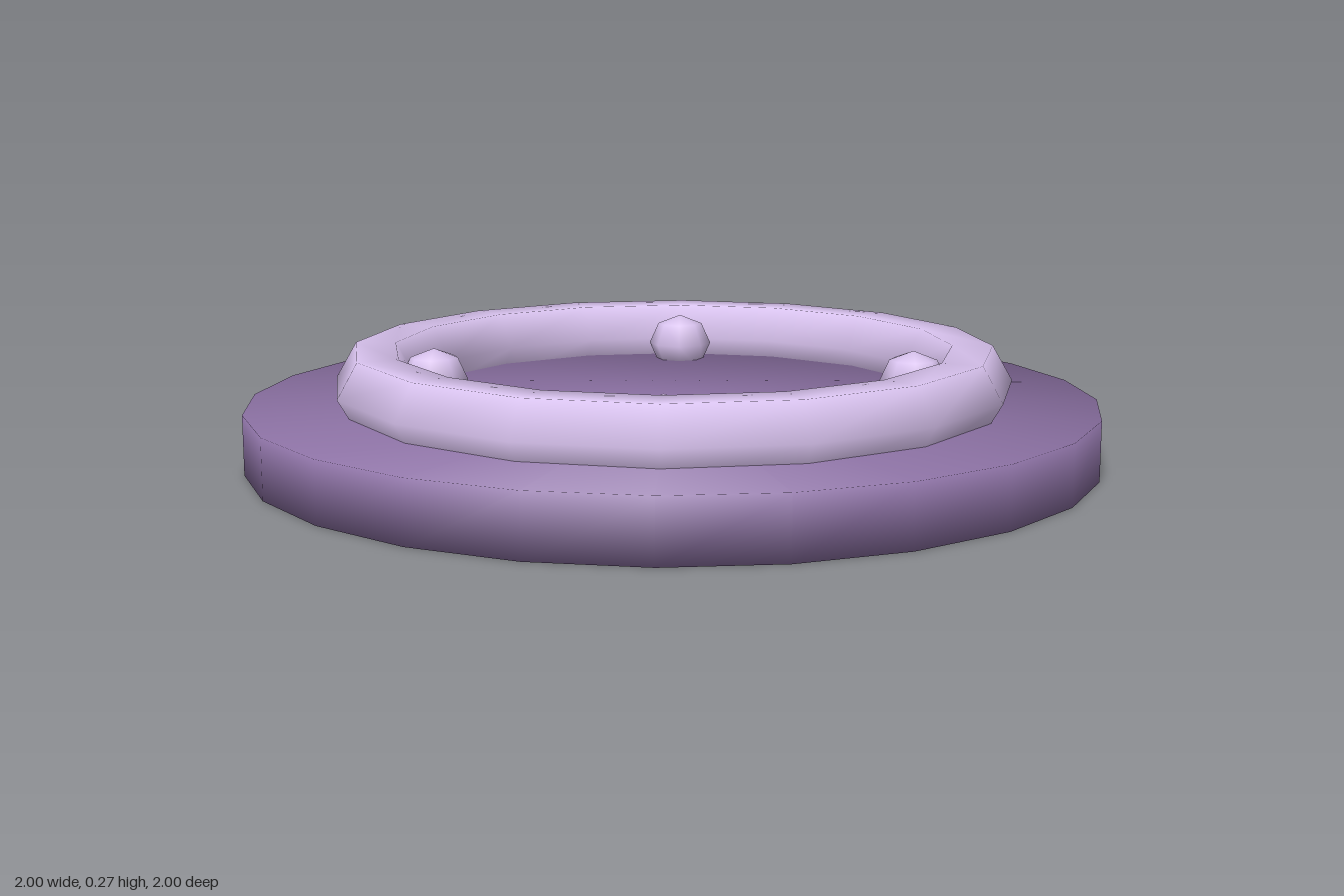
import * as THREE from 'three';
import { mergeVertices } from 'three/addons/utils/BufferGeometryUtils.js';

const mat = (color) => new THREE.MeshStandardMaterial({ color });

export function createModel() {
  const model = new THREE.Group();
  const dark = mat(0x8e73a6);
  const light = mat(0xd8c2ee);

  const add = (name, geometry, material, x, y, z) => {
    const mesh = new THREE.Mesh(geometry, material);
    mesh.name = name;
    mesh.position.set(x, y, z);
    model.add(mesh);
    return mesh;
  };

  // Flat 24-sided disc, shaded smoothly over its rim
  const height = 0.14;
  let disc = new THREE.CylinderGeometry(1, 1, height, 24);
  disc.deleteAttribute('uv');
  disc.deleteAttribute('normal');
  disc = mergeVertices(disc);
  disc.computeVertexNormals();
  const pos = disc.attributes.position;
  const n = new THREE.Vector3();
  for (let i = 0; i < pos.count; i++) {
    n.set(pos.getX(i), Math.sign(pos.getY(i)), pos.getZ(i)).normalize();
    disc.attributes.normal.setXYZ(i, n.x, n.y, n.z);
  }
  add('base', disc, dark, 0, height / 2, 0);

  // Ring with a six-sided section, partly sunk into the disc
  const ring = new THREE.TorusGeometry(0.705, 0.095, 6, 16).rotateX(-Math.PI / 2);
  add('ring', ring, light, 0, 0.185, 0);

  // Four studs along the inside of the ring
  const stud = new THREE.SphereGeometry(0.08, 8, 4).scale(1, 0.92, 1);
  for (let i = 0; i < 4; i++) {
    const a = (i * Math.PI) / 2;
    add('stud' + (i + 1), stud, light, 0.567 * Math.cos(a), 0.18, 0.567 * Math.sin(a));
  }
  return model;
}
